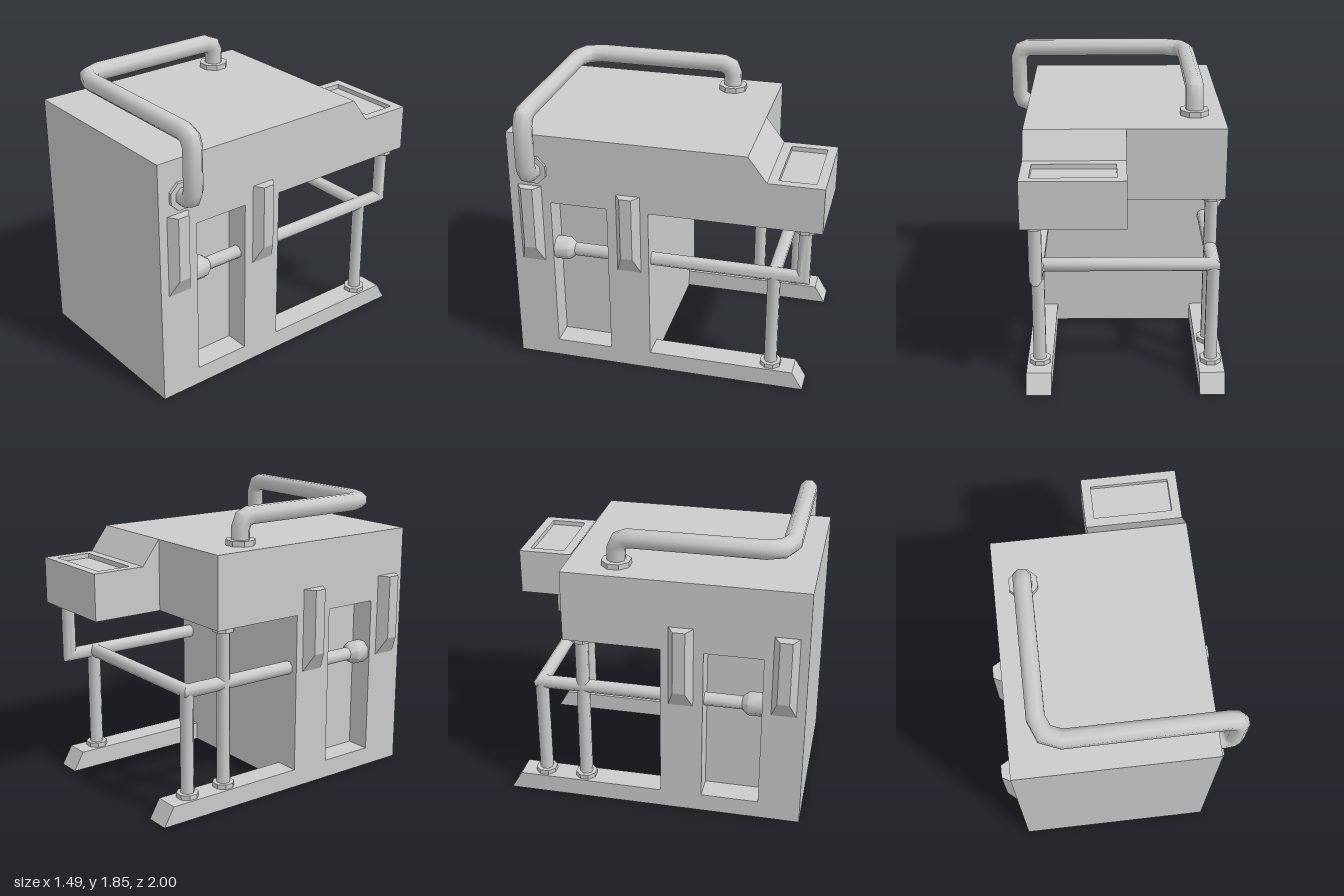
import * as THREE from 'three';
import { mergeGeometries, toCreasedNormals } from 'three/addons/utils/BufferGeometryUtils.js';

const solid = new THREE.MeshStandardMaterial({ color: 0xcccccc });
const sheet = new THREE.MeshStandardMaterial({ color: 0xcccccc, side: THREE.DoubleSide });
const LEFT = 0.57, RIGHT = -0.68, THICK = 0.16;   // outer side planes and wall thickness
const OCT = 1 / Math.cos(Math.PI / 8);            // flat-to-corner factor of an octagon
const V = (x, y, z) => new THREE.Vector3(x, y, z);

function add(group, name, geometry, material = solid) {
  const mesh = new THREE.Mesh(geometry, material);
  mesh.name = name;
  group.add(mesh);
  return mesh;
}

// Flat quads between two matching rows of points
function quads(rowA, rowB) {
  const pts = [];
  for (let i = 0; i + 1 < rowA.length; i++) {
    const [a, b, c, d] = [rowA[i], rowB[i], rowB[i + 1], rowA[i + 1]];
    pts.push(a, b, c, a, c, d);
  }
  const g = new THREE.BufferGeometry().setFromPoints(pts);
  g.computeVertexNormals();
  return g;
}

// Side profile of [z, y] points stretched from x0 to x1
const strip = (x0, x1, pts) =>
  quads(pts.map(([z, y]) => V(x0, y, z)), pts.map(([z, y]) => V(x1, y, z)));

function flat(points, hole) {
  const shape = new THREE.Shape(points.map(p => new THREE.Vector2(...p)));
  if (hole) shape.holes.push(new THREE.Path(hole.map(p => new THREE.Vector2(...p))));
  const g = new THREE.ShapeGeometry(shape).toNonIndexed();
  g.deleteAttribute('uv');
  return g;
}

// Flat wall of [z, y] points standing at x
const wall = (x, pts, hole) => {
  const flip = list => list && list.map(([z, y]) => [-z, y]);
  return flat(flip(pts), flip(hole)).rotateY(Math.PI / 2).translate(x, 0, 0);
};

// Octagonal pipe along a path, mitred at every corner
function pipe(path, apothem) {
  const n = 8, r = apothem * OCT, pos = [], index = [];
  const dirs = path.slice(1).map((p, i) => p.clone().sub(path[i]).normalize());
  const u = Math.abs(dirs[0].y) > 0.5 ? V(1, 0, 0) : V(0, 1, 0);
  const v = dirs[0].clone().cross(u);
  let ring = Array.from({ length: n }, (_, j) => {
    const a = (j + 0.5) * 2 * Math.PI / n;
    return path[0].clone().addScaledVector(u, r * Math.cos(a)).addScaledVector(v, r * Math.sin(a));
  });
  path.forEach((p, i) => {
    if (i > 0) {
      const d = dirs[i - 1], normal = d.clone().add(dirs[i] || d);
      ring = ring.map(q => q.clone().addScaledVector(d, p.clone().sub(q).dot(normal) / d.dot(normal)));
    }
    ring.forEach(q => pos.push(q.x, q.y, q.z));
    if (i === 0) return;
    for (let j = 0; j < n; j++) {
      const k = (j + 1) % n, a = (i - 1) * n, b = i * n;
      index.push(a + j, a + k, b + k, a + j, b + k, b + j);
    }
  });
  const g = new THREE.BufferGeometry();
  g.setAttribute('position', new THREE.Float32BufferAttribute(pos, 3));
  g.setIndex(index);
  return toCreasedNormals(g, 0.9);
}

// Replace the inner corners of a path with two-step bends
function bend(corners, radii) {
  return corners.flatMap((p, i) => {
    if (i === 0 || i === corners.length - 1) return [p];
    const r = radii[i - 1];
    const a = corners[i - 1].clone().sub(p).setLength(r), b = corners[i + 1].clone().sub(p).setLength(r);
    const mid = p.clone().addScaledVector(a.clone().add(b), 1 - Math.SQRT1_2);
    return [p.clone().add(a), mid, p.clone().add(b)];
  });
}

const flange = (apothem, height) =>
  toCreasedNormals(new THREE.CylinderGeometry(apothem * OCT, apothem * OCT, height, 8, 1, false, Math.PI / 8), 0.5);

// Cabinet shell, open underneath
function cabinet() {
  const g = new THREE.Group();
  g.name = 'cabinet';
  const foot = [[0.09, 0.12], [-0.86, 0.12], [-0.93, 0]];
  const box = [[-0.53, 1.62], [-0.65, 1.46], [-1, 1.46], [-1, 1.16], [-0.53, 1.16]];
  const recess = [[0.73, 0.12], [0.36, 0.12], [0.36, 1.16], [0.73, 1.16]];
  const lower = [[0.09, 1.16], ...foot];
  const inL = LEFT - THICK, inR = RIGHT + THICK;

  add(g, 'sideWalls', mergeGeometries([
    wall(LEFT, [[1, 0], [1, 1.62], ...box, ...lower], recess),
    wall(RIGHT, [[1, 0], [1, 1.62], box[0], box[4], ...lower], recess),
  ]), sheet);
  add(g, 'frontTopAndBackWalls', mergeGeometries([
    strip(RIGHT, LEFT, [[1, 0], [1, 1.62], [-0.53, 1.62]]),
    strip(RIGHT, -0.06, [box[0], box[4]]),
    strip(RIGHT, LEFT, [box[4], [0.09, 1.16], [0.09, 0.12]]),
    strip(inR, inL, [[0.09, 0.12], [0.09, 0]]),
  ]), sheet);
  for (const [x0, x1, inner] of [[RIGHT, inR, inR], [inL, LEFT, inL]]) {
    add(g, 'foot', mergeGeometries([strip(x0, x1, foot), wall(inner, [[0.09, 0], ...foot])]), sheet);
    add(g, 'sideRecess', mergeGeometries([strip(x0, x1, [...recess, recess[0]]), wall(inner, recess)]), sheet);
  }

  // Control box with a sunken panel on top
  const inset = [[0, 0.71], [0.51, 0.71], [0.51, 0.94], [0, 0.94]];
  const lid = [[-0.06, 0.65], [LEFT, 0.65], [LEFT, 1], [-0.06, 1]];
  const loop = y => [...inset, inset[0]].map(([x, d]) => V(x, y, -d));
  add(g, 'controlBox', mergeGeometries([
    strip(-0.06, LEFT, box.slice(0, 2)),
    strip(-0.06, LEFT, box.slice(2)),
    wall(-0.06, box),
    flat(lid, inset).rotateX(-Math.PI / 2).translate(0, 1.46, 0),
  ]), sheet);
  add(g, 'controlPanelInset', mergeGeometries([
    quads(loop(1.43), loop(1.46)),
    flat(inset).rotateX(-Math.PI / 2).translate(0, 1.43, 0),
  ]), sheet);
  return g;
}

// Tapered fin pointing along +x, its top at y = 0
function finGeometry(depth) {
  const g = new THREE.BoxGeometry(depth, 0.54, 0.156).translate(depth / 2, -0.27, 0).toNonIndexed();
  const p = g.attributes.position;
  for (let i = 0; i < p.count; i++) {
    if (p.getX(i) < depth / 2) continue;
    p.setZ(i, p.getZ(i) * 0.49);
    if (p.getY(i) < -0.1) p.setY(i, -0.42);
  }
  g.computeVertexNormals();
  return g;
}

export function createModel() {
  const model = new THREE.Group();
  model.name = 'machine';
  model.add(cabinet());

  // Side fins
  for (const z of [0.865, 0.22]) {
    add(model, 'leftFin', finGeometry(0.06)).position.set(LEFT, 1.27, z);
    const fin = add(model, 'rightFin', finGeometry(0.07));
    fin.position.set(RIGHT, 1.32, z);
    fin.rotation.y = Math.PI;
  }

  // Large pipe over the top
  add(model, 'topPipe', pipe(bend([
    V(-0.495, 1.62, -0.22), V(-0.495, 1.795, -0.22), V(-0.495, 1.795, 0.835),
    V(0.685, 1.795, 0.835), V(0.685, 1.385, 0.835), V(LEFT, 1.385, 0.835),
  ], [0.07, 0.14, 0.07, 0.07]), 0.055));
  add(model, 'topPipeFlange', flange(0.088, 0.035)).position.set(-0.495, 1.637, -0.22);
  const sideFlange = add(model, 'sidePipeFlange', flange(0.088, 0.02));
  sideFlange.position.set(LEFT + 0.01, 1.385, 0.835);
  sideFlange.rotation.z = Math.PI / 2;

  // Rail frame between the feet
  const xl = 0.49, xr = -0.6, y = 0.8, zb = -0.705;
  const rails = {
    leftRail: [V(xl, y, 0.68), V(xl, y, -0.89), V(xl, 1.16, -0.89)],
    rightRail: [V(xl, y, zb), V(xr, y, zb), V(xr, y, 0.68)],
    leftPost: [V(xl, 0.12, zb), V(xl, y, zb)],
    rightPost: [V(xr, 0.12, zb), V(xr, y, zb)],
    tallPost: [V(xr, 0.12, -0.43), V(xr, 1.16, -0.43)],
  };
  for (const [name, path] of Object.entries(rails)) add(model, name, pipe(path, 0.04));
  for (const p of [[xl, 0.135, zb], [xr, 0.135, zb], [xr, 0.135, -0.43], [xr, 1.145, -0.43], [xl, 1.145, -0.89]])
    add(model, 'postFlange', flange(0.065, 0.03)).position.set(...p);

  // Couplers where the rails end in the side recesses
  const profile = [[0.04, 0], [0.07, 0.04], [0.07, 0.13]].map(([r, h]) => new THREE.Vector2(r * OCT, h));
  const coupler = toCreasedNormals(
    new THREE.LatheGeometry(profile, 8, Math.PI / 8).rotateX(Math.PI / 2), 0.8);
  for (const x of [xl, xr]) add(model, 'railCoupler', coupler).position.set(x, y, 0.6);

  return model;
}
